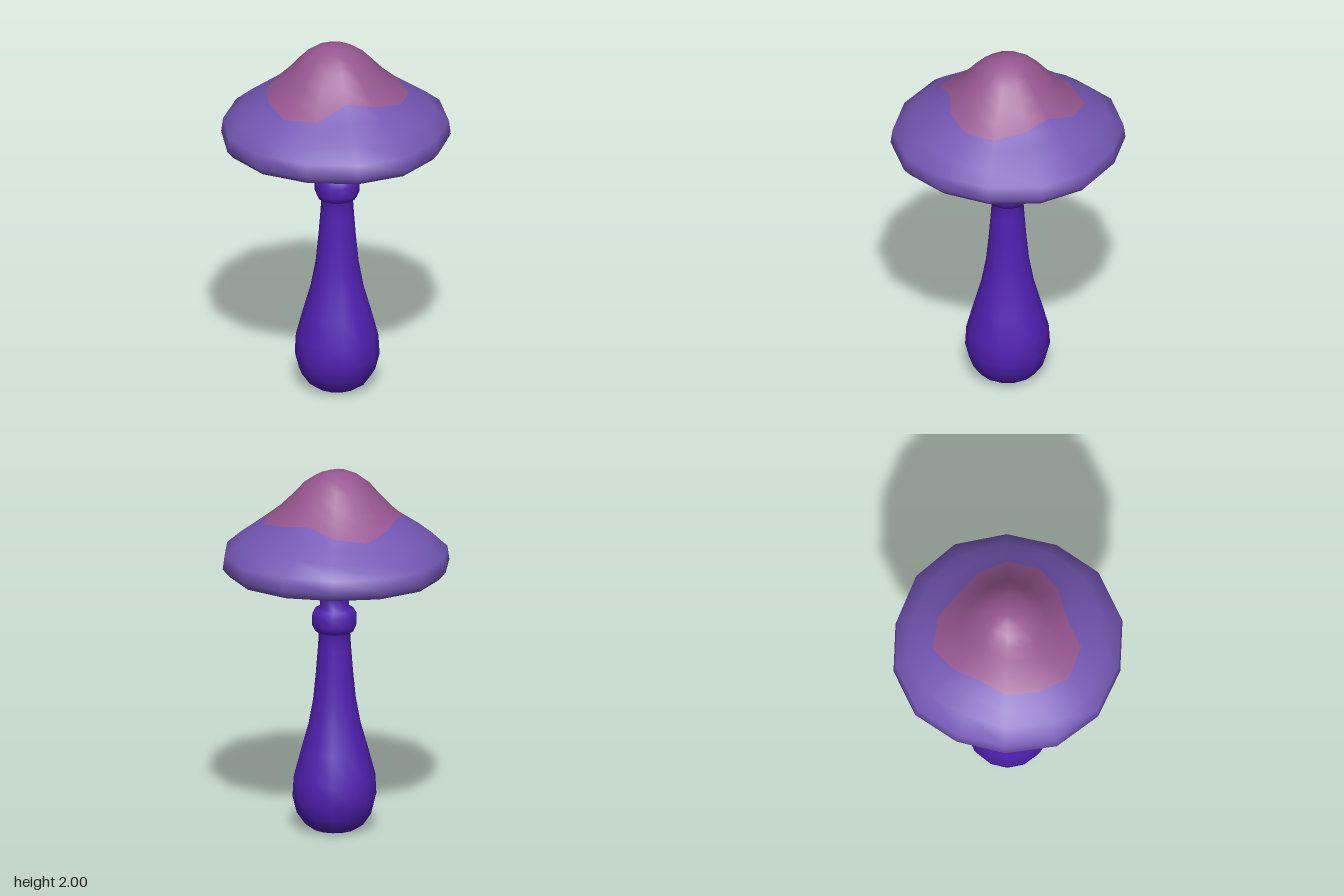
import * as THREE from 'three';

const SIDES = 14;
const material = (name, color, side = THREE.FrontSide) => {
  const m = new THREE.MeshStandardMaterial({ color, side });
  m.name = name;
  return m;
};

// Smooth turned part from [radius, height] pairs
function turned(name, profile, mat) {
  const points = profile.map(([r, y]) => new THREE.Vector2(r, y));
  const mesh = new THREE.Mesh(new THREE.LatheGeometry(points, SIDES), mat);
  mesh.name = name;
  return mesh;
}

// Upper cap surface as [radius, height] from apex to brim
const DOME = [[0, 2], [0.06, 1.993], [0.12, 1.968], [0.18, 1.925], [0.24, 1.855], [0.29, 1.802],
  [0.34, 1.758], [0.42, 1.698], [0.52, 1.63], [0.612, 1.555]];
const DOME_EDGE = 0.612;
const APEX_SHIFT = -0.015;

function domeHeight(r) {
  const i = Math.max(1, DOME.findIndex((p) => p[0] >= r - 1e-6));
  const [r0, y0] = DOME[i - 1], [r1, y1] = DOME[i];
  return THREE.MathUtils.lerp(y0, y1, (r - r0) / (r1 - r0));
}

// Uneven spokes of the cap, from +z towards +x: [angle in degrees, crown patch radius, rim radius]
const SPOKES = [
  [0, 0.4, 0.617], [26.6, 0.31, 0.626], [52.8, 0.345, 0.628], [78.7, 0.385, 0.612], [105, 0.39, 0.616],
  [131.8, 0.354, 0.63], [157.5, 0.33, 0.628], [182.8, 0.386, 0.62], [207.6, 0.42, 0.637],
  [232.6, 0.374, 0.642], [257, 0.34, 0.62], [282.1, 0.377, 0.619], [308, 0.39, 0.634], [333.6, 0.42, 0.63],
];

function capGeometry() {
  const crown = [0.16, 0.32, 0.47, 0.62, 0.8, 1];
  const skirt = [0.3, 0.65, 1];
  const lip = [[0, 1.48], [0.037, 1.437], [0.1, 1.44]]; // [inset from rim, height]
  const { lerp } = THREE.MathUtils;

  // Each ring gives [radius, height] for a spoke's patch and rim radii
  const rings = [
    ...crown.map((t) => (patch) => [patch * t, domeHeight(patch * t)]),
    ...skirt.map((t) => (patch, rim) => [lerp(patch, rim - 0.01, t), domeHeight(lerp(patch, DOME_EDGE, t))]),
    ...lip.map(([inset, y]) => (patch, rim) => [rim - inset, y]),
  ];

  const positions = [APEX_SHIFT, 2, 0];
  for (const ring of rings) {
    for (const [degrees, patch, rim] of SPOKES) {
      const a = THREE.MathUtils.degToRad(degrees);
      const [r, y] = ring(patch, rim);
      const shift = APEX_SHIFT * Math.max(0, 1 - r / 0.4);
      positions.push(r * Math.sin(a) + shift, y, r * Math.cos(a));
    }
  }

  const at = (i, j) => 1 + i * SIDES + (j % SIDES);
  const index = [];
  for (let j = 0; j < SIDES; j++) index.push(0, at(0, j), at(0, j + 1));
  let crownEnd = 0;
  for (let i = 0; i < rings.length - 1; i++) {
    if (i === crown.length - 1) crownEnd = index.length;
    for (let j = 0; j < SIDES; j++) {
      index.push(at(i, j), at(i + 1, j), at(i + 1, j + 1));
      index.push(at(i, j), at(i + 1, j + 1), at(i, j + 1));
    }
  }

  const g = new THREE.BufferGeometry();
  g.setAttribute('position', new THREE.Float32BufferAttribute(positions, 3));
  g.setIndex(index);
  g.addGroup(0, crownEnd, 0);
  g.addGroup(crownEnd, index.length - crownEnd, 1);
  g.computeVertexNormals();
  return g;
}

export function createModel() {
  const stemPurple = material('stem purple', 0x5020b0);
  const capViolet = material('cap violet', 0x7457b4);
  const crownMauve = material('crown mauve', 0x965690);
  const gillMagenta = material('gill magenta', 0xf000ee, THREE.DoubleSide);

  const model = new THREE.Group();
  model.name = 'mushroom';

  // Bulbous stem with a ring and a collar under the cap
  const stem = turned('stem', [
    [0, 0], [0.12, 0.008], [0.16, 0.035], [0.205, 0.1], [0.228, 0.19], [0.222, 0.3],
    [0.182, 0.45], [0.142, 0.59], [0.116, 0.73], [0.101, 0.88], [0.09, 1.02], [0.085, 1.1],
    [0.105, 1.11], [0.121, 1.145], [0.121, 1.2], [0.105, 1.23], [0.078, 1.24],
    [0.079, 1.3], [0.092, 1.385], [0.122, 1.395], [0.137, 1.425], [0.138, 1.48], [0.12, 1.5], [0, 1.54],
  ], stemPurple);
  stem.position.set(0.004, 0, -0.005);
  model.add(stem);

  // Cap with a mauve crown patch
  const cap = new THREE.Mesh(capGeometry(), [crownMauve, capViolet]);
  cap.name = 'cap';
  model.add(cap);

  // Underside rising into a hollow around the stem
  model.add(turned('gills', [
    [0, 1.535], [0.1, 1.56], [0.15, 1.545], [0.19, 1.5], [0.26, 1.468], [0.38, 1.456], [0.535, 1.446],
  ], gillMagenta));

  return model;
}
